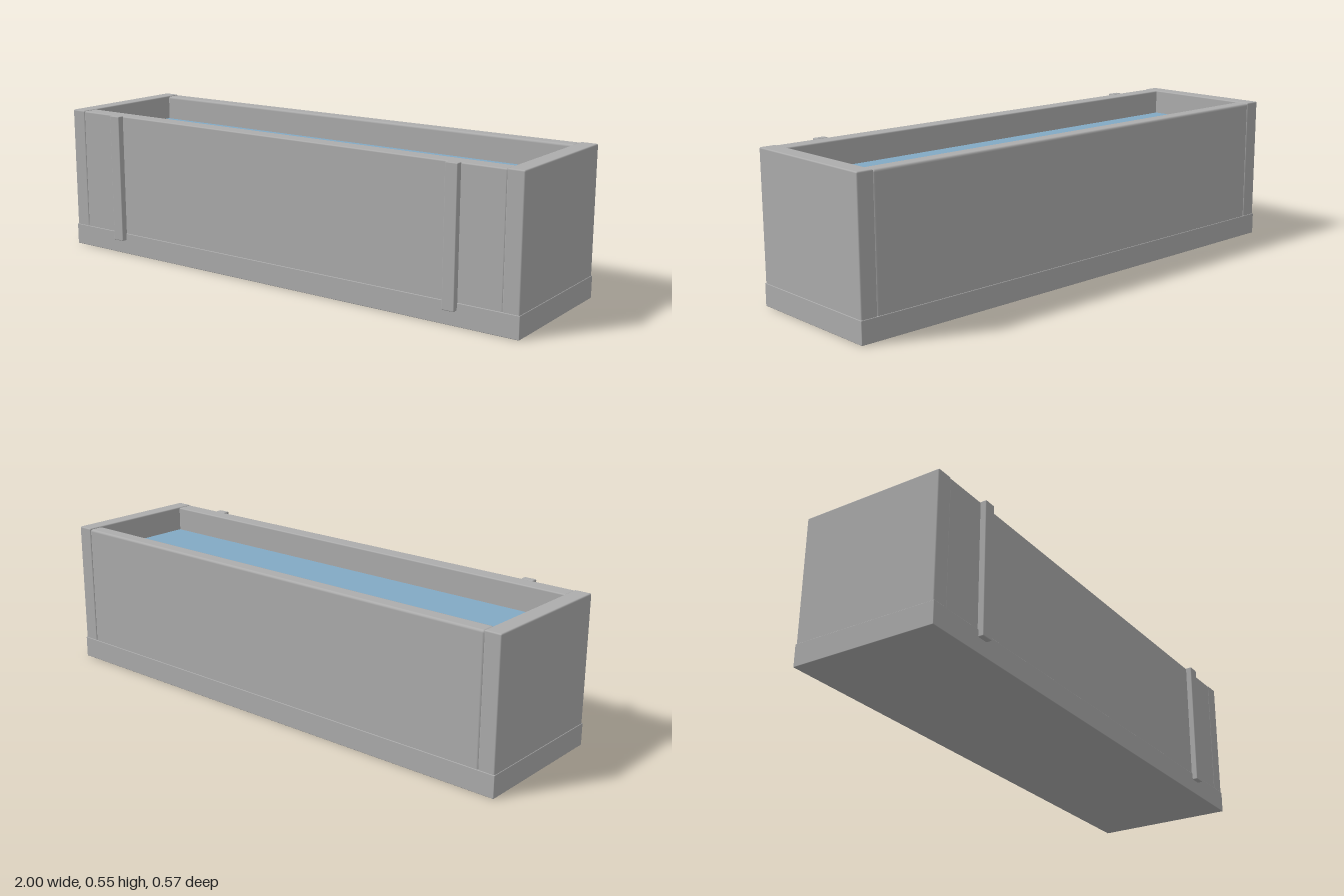
import * as THREE from 'three';
import { RoundedBoxGeometry } from 'three/addons/geometries/RoundedBoxGeometry.js';

const panelGrey = new THREE.MeshStandardMaterial({ color: 0xacacac });
panelGrey.name = 'panelGrey';
const waterBlue = new THREE.MeshStandardMaterial({ color: 0x82a9c4 });
waterBlue.name = 'waterBlue';

export function createModel() {
  const group = new THREE.Group();
  group.name = 'trough';

  // Adds a board given its extents, with softly eased edges
  function board(name, [x0, x1], [y0, y1], [z0, z1], radius) {
    const geometry = new RoundedBoxGeometry(x1 - x0, y1 - y0, z1 - z0, 2, radius);
    const mesh = new THREE.Mesh(geometry, panelGrey);
    mesh.name = name;
    mesh.position.set((x0 + x1) / 2, (y0 + y1) / 2, (z0 + z1) / 2);
    group.add(mesh);
  }

  // Floor slab, a hair prouder than the walls
  board('base', [-1, 1], [0, 0.082], [-0.286, 0.266], 0.002);

  // Long walls, running between the end walls
  board('frontWall', [-0.937, 0.937], [0.06, 0.55], [0.2, 0.263], 0.005);
  board('backWall', [-0.937, 0.937], [0.06, 0.55], [-0.284, -0.225], 0.009);

  // End walls and front straps, mirrored
  for (const [side, s] of [['left', 1], ['right', -1]]) {
    const span = (a, b) => (s > 0 ? [a, b] : [-b, -a]);
    board(side + 'EndWall', span(0.935, 0.998), [0.06, 0.552], [-0.284, 0.264], 0.005);
    board(side + 'Strap', span(0.725, 0.772), [0.055, 0.551], [0.26, 0.286], 0.003);
  }

  // Water surface just below the rim
  const water = new THREE.Mesh(new THREE.BoxGeometry(1.88, 0.009, 0.435), waterBlue);
  water.name = 'water';
  water.position.set(0, 0.452, -0.0125);
  group.add(water);

  return group;
}
